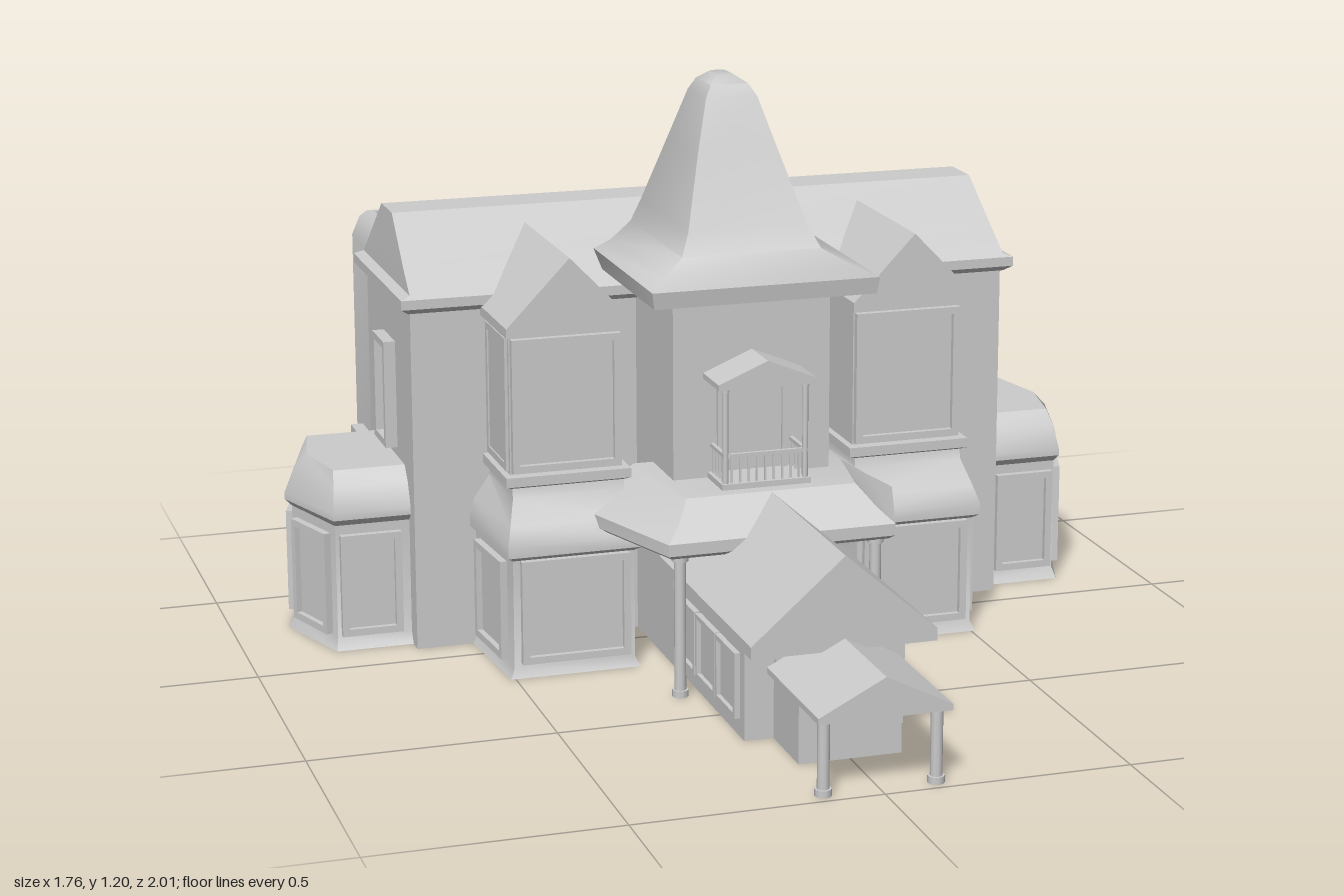
import * as THREE from 'three';
import { toCreasedNormals } from 'three/addons/utils/BufferGeometryUtils.js';

const mat = new THREE.MeshStandardMaterial({ color: 0xcccccc, side: THREE.DoubleSide });

function add(parent, name, geo, x = 0, y = 0, z = 0) {
  const m = new THREE.Mesh(geo, mat);
  m.name = name;
  m.position.set(x, y, z);
  parent.add(m);
  return m;
}

// box given by its limits
function block(parent, name, x0, x1, y0, y1, z0, z1) {
  return add(parent, name, new THREE.BoxGeometry(x1 - x0, y1 - y0, z1 - z0),
    (x0 + x1) / 2, (y0 + y1) / 2, (z0 + z1) / 2);
}

// rectangular outline in plan, from front left round to the back
const rect = (x0, x1, z0, z1) => [[x0, z1], [x1, z1], [x1, z0], [x0, z0]];

// skin over plan outlines stacked at given heights: [[y, outline], ...]
function loft(rings, cap = true, crease = 0.6) {
  const pos = [];
  for (let k = 0; k < rings.length - 1; k++) {
    const [ya, A] = rings[k], [yb, B] = rings[k + 1];
    for (let i = 0; i < A.length; i++) {
      const j = (i + 1) % A.length;
      const a = [A[i][0], ya, A[i][1]], b = [A[j][0], ya, A[j][1]];
      const c = [B[j][0], yb, B[j][1]], d = [B[i][0], yb, B[i][1]];
      pos.push(...a, ...b, ...c, ...a, ...c, ...d);
    }
  }
  if (cap) {
    const [y, T] = rings[rings.length - 1];
    for (let i = 1; i < T.length - 1; i++)
      for (const p of [T[0], T[i], T[i + 1]]) pos.push(p[0], y, p[1]);
  }
  const g = new THREE.BufferGeometry();
  g.setAttribute('position', new THREE.Float32BufferAttribute(pos, 3));
  g.computeVertexNormals();
  return toCreasedNormals(g, crease);
}

// gabled roof running along z
function gable(parent, name, w, y0, lip, y1, z0, z1, x = 0) {
  const s = new THREE.Shape([[-w, y0], [w, y0], [w, y0 + lip], [0, y1], [-w, y0 + lip]]
    .map(p => new THREE.Vector2(...p)));
  return add(parent, name, new THREE.ExtrudeGeometry(s, { depth: z1 - z0, bevelEnabled: false }), x, 0, z0);
}

// framed window facing +z, turned by angle
function windowFrame(parent, name, w, h, x, y, z, angle = 0, t = 0.015, depth = 0.015) {
  const g = new THREE.Group();
  g.name = name;
  const outline = (a, b) => [[-a, -b], [a, -b], [a, b], [-a, b]].map(p => new THREE.Vector2(...p));
  const s = new THREE.Shape(outline(w / 2, h / 2));
  s.holes.push(new THREE.Path(outline(w / 2 - t, h / 2 - t)));
  add(g, 'frame', new THREE.ExtrudeGeometry(s, { depth, bevelEnabled: false }));
  add(g, 'pane', new THREE.PlaneGeometry(w - t, h - t), 0, 0, 0.003);
  g.position.set(x, y, z);
  g.rotation.y = angle;
  parent.add(g);
}

function post(parent, name, x, y0, y1, z, r) {
  add(parent, name, new THREE.CylinderGeometry(r, r, y1 - y0, 10), x, (y0 + y1) / 2, z);
  for (const y of [y0 + r * 0.6, y1 - r * 0.6])
    add(parent, name + 'Collar', new THREE.CylinderGeometry(r * 1.4, r * 1.4, r * 1.2, 10), x, y, z);
}

// small roofed balcony, back on z = 0
function balcony(parent, name, h, y, z, angle) {
  const g = new THREE.Group();
  g.name = name;
  block(g, 'floor', -0.095, 0.095, 0, 0.012, 0, 0.1);
  gable(g, 'balconyRoof', 0.104, h - 0.055, 0.012, h, 0, 0.105);
  for (const s of [-1, 1]) {
    post(g, 'balconyPost', s * 0.085, 0, h - 0.055, 0.09, 0.006);
    block(g, 'sideRail', s * 0.085 - 0.004, s * 0.085 + 0.004, 0.065, 0.073, 0, 0.09);
    for (let i = 0; i < 4; i++)
      block(g, 'baluster', s * 0.085 - 0.002, s * 0.085 + 0.002, 0, 0.07, 0.01 + i * 0.02, 0.014 + i * 0.02);
  }
  block(g, 'frontRail', -0.09, 0.09, 0.065, 0.073, 0.086, 0.094);
  for (let i = -4; i <= 4; i++)
    block(g, 'baluster', i * 0.018 - 0.002, i * 0.018 + 0.002, 0, 0.07, 0.088, 0.092);
  windowFrame(g, 'balconyDoor', 0.15, h - 0.06, 0, (h - 0.06) / 2, 0, 0, 0.012, 0.01);
  g.position.set(0, y, z);
  g.rotation.y = angle;
  parent.add(g);
}

// parts repeated on either side
function wing() {
  const g = new THREE.Group();
  // angled bay on the side wall
  const bay = (d, e = 0) => [[0.6, -0.115 + d - e], [0.81 + d * 0.4 - e * 0.2, -0.115 + d - e],
    [0.87 + d - e, -0.295], [0.81 + d * 0.4 - e * 0.2, -0.475 - d + e], [0.6, -0.475 - d + e]];
  add(g, 'sideBayWalls', loft([[0, bay(0.01)], [0.025, bay(-0.005)], [0.275, bay(-0.005)]], false));
  add(g, 'sideBayRoof', loft([[0.27, bay(-0.005)], [0.285, bay(0.01)], [0.3, bay(0.01)],
    [0.35, bay(0, 0.012)], [0.38, bay(0, 0.04)]]));
  windowFrame(g, 'sideBayWindow', 0.13, 0.22, 0.735, 0.14, -0.12);
  windowFrame(g, 'sideBayWindow', 0.13, 0.22, 0.735, 0.14, -0.47, Math.PI);
  const turn = Math.atan2(0.18, 0.06);
  windowFrame(g, 'sideBayWindow', 0.14, 0.22, 0.837, 0.14, -0.205, turn);
  windowFrame(g, 'sideBayWindow', 0.14, 0.22, 0.837, 0.14, -0.385, Math.PI - turn);

  // two-storey front bay
  const plan = (x0, x1, z, flare = 0.02) => [[x0, z], [x1, z], [x1 + flare, -0.08], [x0 - flare, -0.08]];
  add(g, 'lowerBayWalls', loft([[0, plan(0.235, 0.51, 0.175)], [0.02, plan(0.243, 0.5, 0.165)],
    [0.25, plan(0.243, 0.5, 0.165)], [0.26, plan(0.232, 0.513, 0.18)], [0.285, plan(0.232, 0.513, 0.18)],
    [0.32, plan(0.242, 0.503, 0.16)], [0.37, plan(0.252, 0.488, 0.125, 0)], [0.39, plan(0.252, 0.488, 0.12, 0)],
    [0.395, plan(0.238, 0.502, 0.13, 0)], [0.415, plan(0.238, 0.502, 0.13, 0)]]));
  windowFrame(g, 'lowerBayWindow', 0.23, 0.22, 0.37, 0.14, 0.165);
  windowFrame(g, 'lowerBaySideWindow', 0.17, 0.21, 0.511, 0.135, 0.045, Math.PI / 2 - 0.08);
  block(g, 'upperBayWalls', 0.252, 0.488, 0.41, 0.72, -0.1, 0.105);
  windowFrame(g, 'upperBayWindow', 0.23, 0.28, 0.37, 0.56, 0.105);
  windowFrame(g, 'upperBaySideWindow', 0.16, 0.28, 0.488, 0.56, 0.015, Math.PI / 2, 0.015, 0.006);
  gable(g, 'upperBayRoof', 0.133, 0.712, 0.02, 0.87, -0.24, 0.15, 0.37);

  // side windows
  windowFrame(g, 'sideWindow', 0.11, 0.23, 0.65, 0.515, -0.275, Math.PI / 2, 0.015, 0.025);
  windowFrame(g, 'rearSideWindow', 0.28, 0.18, 0.593, 0.19, -0.71, Math.PI / 2, 0.018, 0.028);

  // entrance supports and hall windows
  post(g, 'porchPost', 0.208, 0, 0.3, 0.37, 0.012);
  post(g, 'canopyPost', 0.113, 0, 0.16, 0.97, 0.012);
  for (const z of [0.3, 0.435, 0.565])
    windowFrame(g, 'hallWindow', 0.126, 0.135, 0.165, 0.105, z, Math.PI / 2, 0.01, 0.012);
  return g;
}

export function createModel() {
  const house = new THREE.Group();
  house.name = 'house';

  // main house
  add(house, 'mainWalls', loft([[0, rect(-0.65, 0.65, -0.485, -0.07)], [0.74, rect(-0.65, 0.65, -0.485, -0.07)]], false));
  add(house, 'mainRoof', loft([[0.725, rect(-0.655, 0.655, -0.5, -0.065)], [0.737, rect(-0.672, 0.672, -0.515, -0.05)],
    [0.757, rect(-0.672, 0.672, -0.515, -0.05)], [0.765, rect(-0.652, 0.652, -0.505, -0.06)],
    [0.81, rect(-0.65, 0.65, -0.45, -0.125)], [0.9, rect(-0.645, 0.645, -0.345, -0.245)]]));

  // open-topped rear hall with sloping parapet
  const hall = d => rect(-0.593 + d, 0.593 - d, -0.913 + d, -0.49);
  add(house, 'rearHall', loft([[0, hall(0)], [0.71, hall(0)], [0.755, hall(0.015)], [0.77, hall(0.03)],
    [0.77, rect(-0.55, 0.55, -0.865, -0.515)], [0.72, rect(-0.55, 0.55, -0.865, -0.515)]], false));
  windowFrame(house, 'rearLongWindow', 1.06, 0.24, 0, 0.17, -0.913, Math.PI, 0.022, 0.016);
  add(house, 'roundVent', new THREE.TorusGeometry(0.025, 0.005, 8, 20), 0.593, 0.58, -0.6).rotation.y = Math.PI / 2;

  // central tower and its tall curved roof
  block(house, 'towerWalls', -0.168, 0.168, 0, 0.8, -0.1, 0.195);
  const hat = (x, zb, zf, c) => [[-x, zf], [x, zf], [x, zb + c], [x - c, zb], [c - x, zb], [-x, zb + c]];
  add(house, 'towerRoof', loft([[0.785, hat(0.17, -0.15, 0.2, 0.05)], [0.785, hat(0.235, -0.22, 0.29, 0.09)],
    [0.82, hat(0.24, -0.225, 0.295, 0.09)], [0.835, hat(0.2, -0.225, 0.24, 0.08)], [0.865, hat(0.148, -0.225, 0.195, 0.05)],
    [0.91, hat(0.127, -0.21, 0.17, 0.04)], [1.05, hat(0.087, -0.14, 0.105, 0.03)],
    [1.16, hat(0.055, -0.085, 0.06, 0.02)], [1.185, hat(0.04, -0.07, 0.045, 0.015)],
    [1.2, hat(0.018, -0.045, 0.015, 0.008)]], true, 0.9));

  // porch roof
  const porch = (xf, xb, z) => [[-xf, z], [xf, z], [xb, 0.15], [xb, 0.05], [-xb, 0.05], [-xb, 0.15]];
  add(house, 'porchRoof', loft([[0.3, porch(0.12, 0.15, 0.25)], [0.295, porch(0.23, 0.31, 0.385)],
    [0.305, porch(0.24, 0.325, 0.4)], [0.33, porch(0.24, 0.325, 0.4)],
    [0.36, porch(0.21, 0.27, 0.37)], [0.4, porch(0.18, 0.21, 0.325)]]));

  // entrance hall, vestibule and canopy
  add(house, 'entranceHall', loft([[0, rect(-0.165, 0.165, 0.15, 0.655)], [0.215, rect(-0.165, 0.165, 0.15, 0.655)]], false));
  gable(house, 'entranceRoof', 0.19, 0.208, 0.025, 0.398, 0.17, 0.77);
  add(house, 'vestibule', loft([[0, rect(-0.105, 0.105, 0.6, 0.805)], [0.165, rect(-0.105, 0.105, 0.6, 0.805)]], false));
  gable(house, 'canopyRoof', 0.134, 0.152, 0.012, 0.232, 0.7, 1.0);

  balcony(house, 'frontBalcony', 0.265, 0.4, 0.195, 0);
  balcony(house, 'rearBalcony', 0.225, 0.45, -0.9, Math.PI);

  for (const s of [1, -1]) {
    const w = wing();
    w.name = s > 0 ? 'leftWing' : 'rightWing';
    w.scale.x = s;
    house.add(w);
  }
  return house;
}
